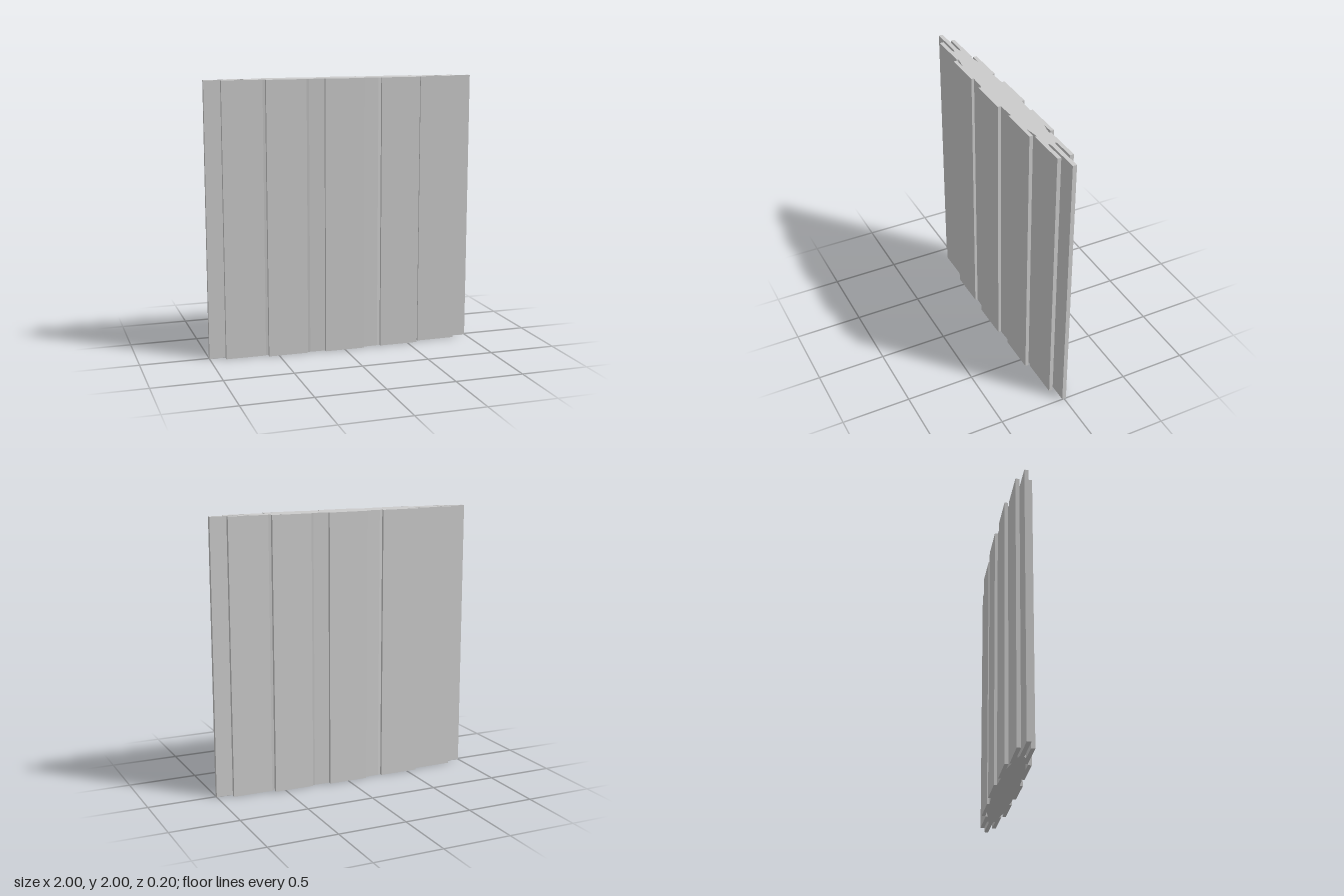
import * as THREE from 'three';

export function createModel() {
  const group = new THREE.Group();
  const material = new THREE.MeshStandardMaterial({ color: 0xcccccc, flatShading: true });

  // One quarter of the cross-section, from the centre block out to the thin tongue
  const quarter = [
    [0.147, 0.1], [0.147, 0.078], [0.26, 0.074], [0.282, 0.07], // centre block and step
    [0.282, 0.09], [0.575, 0.09], [0.575, 0.064],               // inner plate
    [0.485, 0.064], [0.54, 0.053], [0.592, 0.046],              // shallow slot under it
    [0.592, 0.059], [0.885, 0.059], [0.885, 0.031],             // outer plate
    [0.73, 0.031], [0.708, 0.025], [0.715, 0.02], [0.74, 0.015], // deep slot
    [1, 0.015],                                                 // tongue
  ];

  // Mirror the quarter to all four sides, running clockwise
  const mirror = (sx, sz) => quarter.map(([x, z]) => new THREE.Vector2(x * sx, z * sz));
  const outline = [
    ...mirror(1, 1),
    ...mirror(1, -1).reverse(),
    ...mirror(-1, -1),
    ...mirror(-1, 1).reverse(),
  ];

  // Extrude the section upwards
  const geometry = new THREE.ExtrudeGeometry(new THREE.Shape(outline), { depth: 2, bevelEnabled: false });
  geometry.rotateX(-Math.PI / 2);
  const panel = new THREE.Mesh(geometry, material);
  panel.name = 'steppedPanel';
  group.add(panel);
  return group;
}
